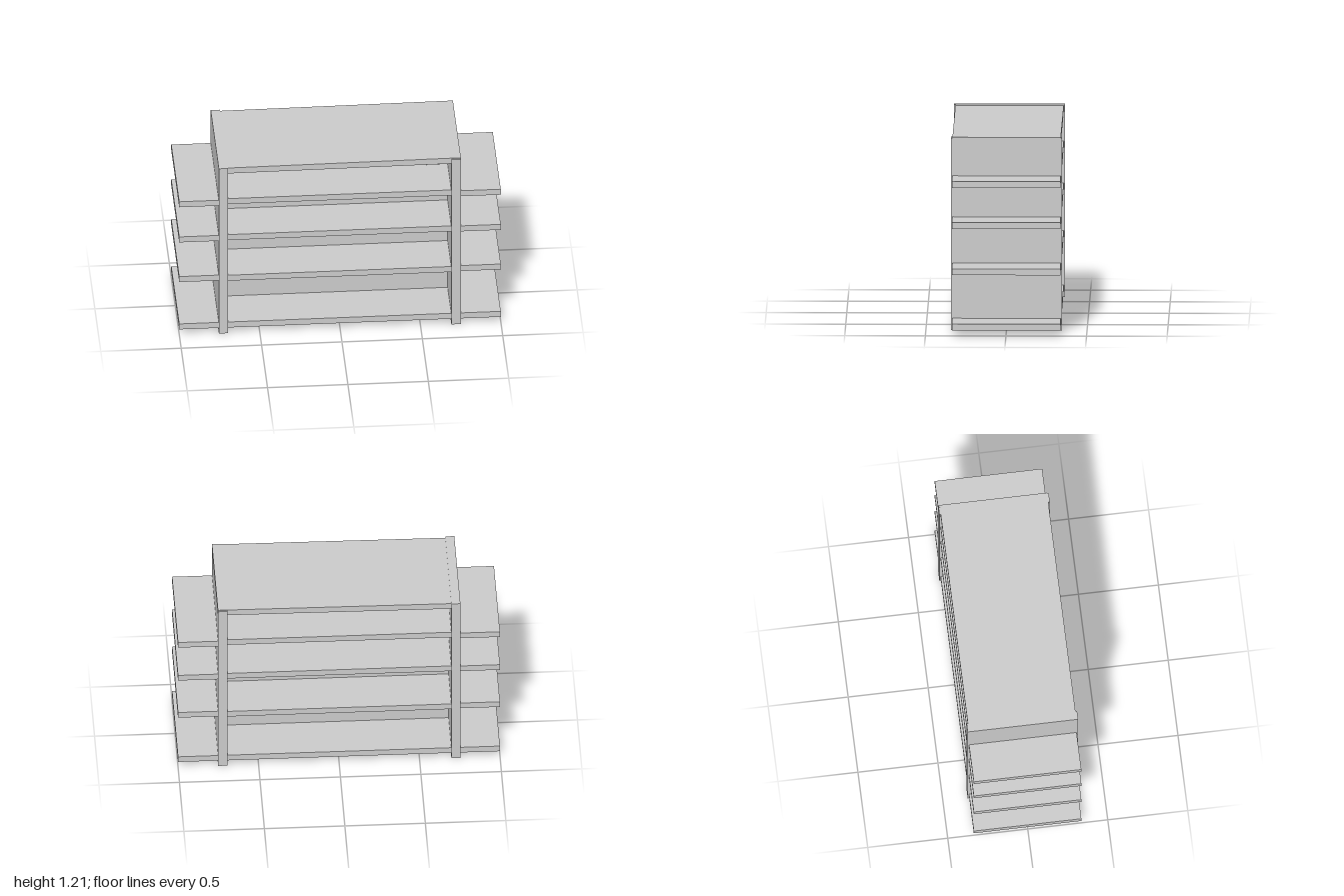
import * as THREE from 'three';

const material = new THREE.MeshStandardMaterial({ color: 0xcccccc, flatShading: true });

// Axis-aligned board given by its limits on each axis
function board(name, [x0, x1], [y0, y1], [z0, z1]) {
  const mesh = new THREE.Mesh(new THREE.BoxGeometry(x1 - x0, y1 - y0, z1 - z0), material);
  mesh.position.set((x0 + x1) / 2, (y0 + y1) / 2, (z0 + z1) / 2);
  mesh.name = name;
  return mesh;
}

export function createModel() {
  const group = new THREE.Group();
  group.name = 'shelfUnit';
  const depth = [-0.337, 0.335];
  const thickness = 0.04;

  // Upright end panels, slightly deeper than the shelves
  group.add(board('rightEndPanel', [-0.754, -0.698], [0, 1.204], [-0.345, 0.345]));
  group.add(board('leftEndPanel', [0.692, 0.751], [0, 1.204], [-0.345, 0.345]));

  // Central divider, splitting the unit into front and back bays
  group.add(board('centreDivider', [-0.698, 0.692], [0, 1.175], [-0.03, 0.03]));

  // Inner shelves and the outer ones on both ends: [inner base, outer base]
  const levels = [[0.035, 0.035], [0.377, 0.381], [0.674, 0.671], [0.937, 0.928]];
  levels.forEach(([inner, outer], i) => {
    const n = i + 1;
    group.add(board(`innerShelf${n}`, [-0.698, 0.692], [inner, inner + thickness], depth));
    group.add(board(`rightOuterShelf${n}`, [-1, -0.754], [outer, outer + thickness], depth));
    group.add(board(`leftOuterShelf${n}`, [0.751, 1], [outer, outer + thickness], depth));
  });

  // Top board, tilted a touch upwards towards the left end
  const top = board('topBoard', [-0.752, 0.752], [1.165, 1.205], depth);
  top.rotation.z = 0.006;
  group.add(top);

  return group;
}
